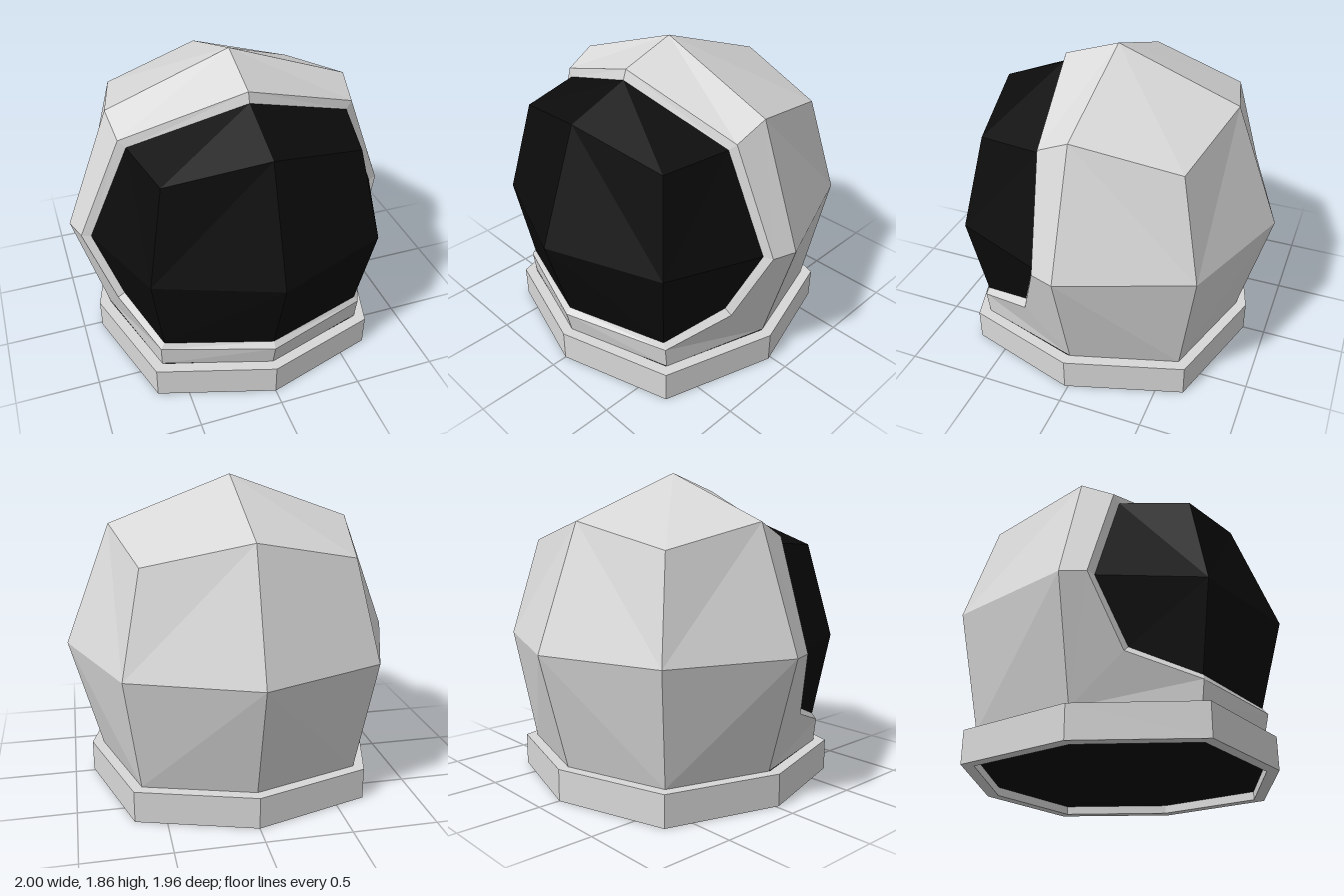
import * as THREE from 'three';

const shellGrey = new THREE.MeshStandardMaterial({ color: 0xd8d8d8, flatShading: true, side: THREE.DoubleSide });
shellGrey.name = 'shell grey';
const visorBlack = new THREE.MeshStandardMaterial({ color: 0x0b0b0b, flatShading: true, side: THREE.DoubleSide });
visorBlack.name = 'visor black';

// Corner points of the model's left half (+x)
const P = {
  // shell, from the crown down the side
  crown: [0, 1.86, 0.01], sideTop: [0.725, 1.59, 0.01], side: [1, 0.87, 0.01], sideFoot: [0.815, 0.19, 0.01],
  // shell, back
  backTop: [0, 1.59, -0.71], backTopL: [0.6, 1.455, -0.58],
  back: [0, 0.87, -0.98], backL: [0.72, 0.87, -0.71],
  backFoot: [0, 0.19, -0.8], backFootL: [0.63, 0.19, -0.61],
  // shell, chin
  chinFoot: [0, 0.19, 0.84], chinFootL: [0.63, 0.19, 0.645],
  // outer edge of the face opening
  o0: [0, 1.75, 0.34], o1: [0.7, 1.5, 0.2], o2: [0.955, 0.87, 0.15],
  o3: [0.8, 0.465, 0.295], o4: [0.635, 0.325, 0.66], o5: [0, 0.325, 0.87],
  // inner edge of the rim, where the visor starts
  v0: [0, 1.69, 0.36], v1: [0.66, 1.46, 0.22], v2: [0.9, 0.87, 0.17],
  v3: [0.76, 0.5, 0.305], v4: [0.61, 0.36, 0.65], v5: [0, 0.36, 0.84],
  // visor bulge
  brow: [0, 1.55, 0.73], browL: [0.57, 1.43, 0.61],
  nose: [0, 0.87, 0.98], noseL: [0.68, 0.87, 0.72],
};

// Fans each polygon into triangles facing outward and mirrors them across x = 0
function mirroredMesh(name, material, faces) {
  const centre = new THREE.Vector3(0, 0.87, 0);
  const positions = [];
  for (const sx of [1, -1]) {
    for (const face of faces) {
      const pts = face.split(' ').map((k) => new THREE.Vector3(P[k][0] * sx, P[k][1], P[k][2]));
      for (let i = 1; i < pts.length - 1; i++) {
        const tri = [pts[0], pts[i], pts[i + 1]];
        const normal = new THREE.Triangle(...tri).getNormal(new THREE.Vector3());
        const mid = new THREE.Triangle(...tri).getMidpoint(new THREE.Vector3());
        if (normal.dot(mid.sub(centre)) < 0) tri.reverse();
        tri.forEach((p) => positions.push(p.x, p.y, p.z));
      }
    }
  }
  const geometry = new THREE.BufferGeometry();
  geometry.setAttribute('position', new THREE.Float32BufferAttribute(positions, 3));
  geometry.computeVertexNormals();
  const mesh = new THREE.Mesh(geometry, material);
  mesh.name = name;
  return mesh;
}

// Squarish octagon: r along the axes, d at the diagonal corners
function octagon(r, d) {
  return [[r, 0], [d, d], [0, r], [-d, d], [-r, 0], [-d, -d], [0, -r], [d, -d]]
    .map(([x, y]) => new THREE.Vector2(x, y));
}

export function createModel() {
  const model = new THREE.Group();
  model.name = 'helmet';

  model.add(mirroredMesh('shell', shellGrey, [
    'crown sideTop backTopL backTop',
    'sideTop side backL backTopL',
    'backTop backTopL backL back',
    'side sideFoot backFootL backL',
    'back backL backFootL backFoot',
    'crown sideTop o1 o0',
    'sideTop side o2 o1',
    'sideFoot chinFootL o4 o3 o2 side',
    'chinFootL chinFoot o5 o4',
  ]));

  // Bevelled frame around the visor
  const rim = [0, 1, 2, 3, 4].map((i) => `o${i} o${i + 1} v${i + 1} v${i}`);
  model.add(mirroredMesh('visorRim', shellGrey, rim));

  model.add(mirroredMesh('visor', visorBlack, [
    'v0 v1 browL brow',
    'brow browL noseL nose',
    'v1 v2 noseL browL',
    'noseL v2 v3 v4',
    'nose noseL v4 v5',
  ]));

  // Neck ring
  const ringShape = new THREE.Shape(octagon(0.885, 0.68));
  ringShape.holes.push(new THREE.Path(octagon(0.815, 0.628)));
  const ring = new THREE.Mesh(
    new THREE.ExtrudeGeometry(ringShape, { depth: 0.19, bevelEnabled: false }).rotateX(-Math.PI / 2),
    shellGrey,
  );
  ring.name = 'neckRing';
  ring.position.z = 0.02;
  model.add(ring);

  // Dark floor just inside the neck ring
  const floor = new THREE.Mesh(
    new THREE.ShapeGeometry(new THREE.Shape(octagon(0.815, 0.628))).rotateX(Math.PI / 2),
    visorBlack,
  );
  floor.name = 'neckOpening';
  floor.position.set(0, 0.05, 0.02);
  model.add(floor);

  return model;
}
